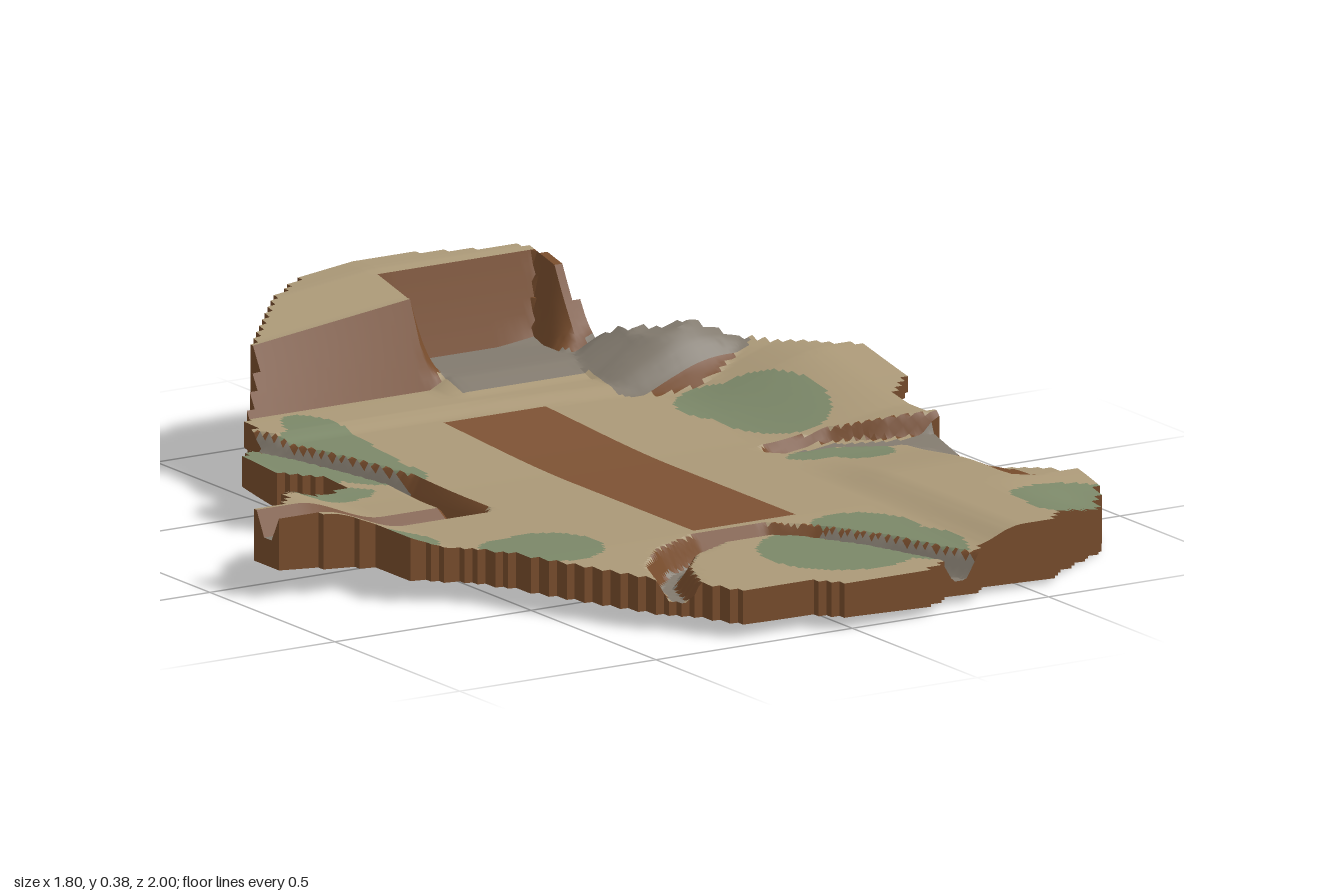
import * as THREE from 'three';
import { toCreasedNormals } from 'three/addons/utils/BufferGeometryUtils.js';

const CELL = 0.02, STEP = 0.01; // outline blocks and surface grid

// Island outline as x, z pairs
const OUTLINE = [
  -0.12, -1.005, 0.08, -1.005, 0.2, -0.98, 0.27, -0.95, 0.38, -0.94, 0.42, -0.85, 0.44, -0.72, 0.44, -0.66,
  0.5, -0.6, 0.62, -0.54, 0.7, -0.5, 0.78, -0.41, 0.89, -0.32, 0.89, -0.18, 0.82, -0.12, 0.79, -0.05,
  0.81, 0.05, 0.8, 0.18, 0.83, 0.32, 0.915, 0.4, 0.86, 0.46, 0.85, 0.65, 0.78, 0.75, 0.62, 0.85,
  0.57, 0.9, 0.4, 0.9, 0.36, 0.93, 0.26, 0.95, 0.19, 1.005, 0, 1.005, -0.08, 0.94, -0.24, 0.94,
  -0.28, 0.85, -0.35, 0.78, -0.4, 0.68, -0.46, 0.56, -0.52, 0.42, -0.6, 0.34, -0.69, 0.28, -0.68, 0.16,
  -0.8, 0.13, -0.905, 0.13, -0.905, 0.02, -0.82, 0.02, -0.77, -0.06, -0.7, -0.13, -0.6, -0.18, -0.53, -0.2,
  -0.51, -0.28, -0.59, -0.36, -0.6, -0.48, -0.5, -0.6, -0.47, -0.68, -0.4, -0.76, -0.27, -0.9, -0.18, -0.97,
];

// Gullies: paths of x, z pairs
const GULLIES = [
  [-0.95, 0.075, -0.39, 0.075, -0.385, -0.2, -0.42, -0.32, -0.46, -0.43, -0.53, -0.58],
  [-0.34, 0.86, -0.28, 0.7, -0.2, 0.61, -0.08, 0.555, 0.07, 0.555, 0.14, 0.61, 0.23, 0.75, 0.32, 0.96],
  [0.46, -0.005, 0.58, 0.005, 0.68, 0.06, 0.85, 0.11],
];

// Grass patches: x, z, radius x, radius z
const GRASS = [
  [-0.37, -0.5, 0.07, 0.17], [-0.42, -0.38, 0.11, 0.2], [-0.55, -0.42, 0.09, 0.2], [-0.38, -0.24, 0.07, 0.08],
  [-0.6, -0.16, 0.12, 0.05], [0.57, -0.23, 0.12, 0.17], [0.5, -0.34, 0.08, 0.1], [-0.41, 0.44, 0.11, 0.12],
  [-0.48, 0.4, 0.08, 0.07], [0.12, 0.76, 0.18, 0.17], [0.25, 0.66, 0.12, 0.13], [0.29, 0.8, 0.1, 0.14],
  [0.75, 0.7, 0.14, 0.1], [0.66, 0.78, 0.06, 0.07], [0.5, 0.08, 0.08, 0.04], [0.59, 0.12, 0.07, 0.06],
  [-0.64, 0.25, 0.05, 0.07],
];

// Linear ramp from 0 at a to 1 at b, in either direction
const ramp = (a, b, v) => Math.min(1, Math.max(0, (v - a) / (b - a)));
const smooth = (a, b, v) => { const t = ramp(a, b, v); return t * t * (3 - 2 * t); };
const radius = (x, z, cx, cz, rx, rz) => Math.hypot((x - cx) / rx, (z - cz) / rz);

function inside(x, z) {
  let hit = false;
  const n = OUTLINE.length;
  for (let i = 0, j = n - 2; i < n; j = i, i += 2) {
    const [xi, zi, xj, zj] = [OUTLINE[i], OUTLINE[i + 1], OUTLINE[j], OUTLINE[j + 1]];
    if ((zi > z) !== (zj > z) && x < (xj - xi) * (z - zi) / (zj - zi) + xi) hit = !hit;
  }
  return hit;
}

function gullyDistance(x, z) {
  let best = 9;
  for (const p of GULLIES) {
    for (let i = 0; i + 3 < p.length; i += 2) {
      const dx = p[i + 2] - p[i], dz = p[i + 3] - p[i + 1];
      const t = ramp(0, dx * dx + dz * dz, (x - p[i]) * dx + (z - p[i + 1]) * dz);
      best = Math.min(best, Math.hypot(x - p[i] - t * dx, z - p[i + 1] - t * dz));
    }
  }
  return best;
}

// Underside: shallow bowl rising to the back and the far right edge
function bottom(x, z) {
  let y = 0.028 + 0.165 * ramp(-0.15, -1, z) ** 2;
  y += x > 0
    ? 0.125 * (x / 0.89) ** 1.6 * smooth(0.4, -0.2, z) - 0.026 * ramp(0, 0.85, x) * smooth(0.2, 0.5, z)
    : 0.035 * (x / 0.9) ** 2;
  return Math.max(0, y);
}

// Upper surface
function top(x, z) {
  let y = 0.118 + 0.027 * smooth(0, -0.75, z) + 0.015 * ramp(-0.53, -0.57, z - 0.1 * Math.max(0, x));
  y -= 0.014 * ramp(0.5, 1, z) * ramp(0.45, 0.35, x);                         // front fall
  y += 0.06 * smooth(-0.58, -0.8, x);                                         // side spur
  const zt = z - 0.09 * ramp(0.58, 0.8, x);
  y += smooth(0.43, 0.8, x) * ramp(0.01, -0.03, zt) * (0.045 + 0.045 * ramp(-0.03, -0.35, z)); // side terrace
  y += 0.025 * smooth(0.38, 0.5, x) * smooth(0.1, 0.4, z);                    // front shoulder
  y -= 0.04 * smooth(0.6, 0.8, x) * smooth(0.5, 0.75, z);                     // shoulder fall
  y -= 0.045 * ramp(0.7, 0.8, x) * ramp(0.1, 0.16, z) * ramp(0.55, 0.48, z);  // eroded slope
  y += 0.08 * Math.min(1, Math.max(0, 1.6 - 1.6 * radius(x, z, 0.53, -0.61, 0.18, 0.17))); // rocky hump
  y += 0.025 * ramp(0, 0.05, x) * ramp(-0.6, -0.68, z);                       // quarry floor
  const cliff = Math.max(                                                     // back plateau
    ramp(-0.69, -0.77, z) * ramp(0.05, 0, x),
    ramp(-0.84, -0.9, z),
    ramp(-0.72, -0.82, z) * ramp(0.36, 0.4, x));
  y += cliff * (0.295 + 0.05 * ramp(-0.42, 0, x) + 0.033 * ramp(-0.78, -0.93, z) - y);
  y -= 0.055 * ramp(0.045, 0.015, gullyDistance(x, z));
  return Math.max(y, bottom(x, z) + 0.03);
}

function slope(x, z) {
  const e = 0.006;
  return Math.hypot(top(x + e, z) - top(x - e, z), top(x, z + e) - top(x, z - e)) / (2 * e);
}

function surfaceAt(x, z) {
  if (x > -0.08 && x < 0.175 && z > -0.51 && z < 0.49) return 'runway';
  const d = gullyDistance(x, z);
  const rockyGully = (x < -0.36 && z < -0.2) || (x > 0.15 && z > 0.6);
  if (d < 0.04 && (d < 0.016 || rockyGully)) return 'rock';
  if (x > 0.36 && z < -0.74 && z > -0.88) return 'earth';
  if (x > 0.36 && z < -0.48 && z > -0.74 && radius(x, z, 0.53, -0.59, 0.2, 0.16) < 1) return 'rock';
  if (x > 0.43 && x < 0.6 && z > -0.48 && z < -0.455) return 'earth';
  if (x > 0.7 && z > 0.06 && z < 0.17) return 'rock';
  if (slope(x, z) > 0.75) return 'earth';
  if (x > 0.705 && z > 0.16 && z < 0.52 && x < Math.min(0.77 + 0.16 * z, 0.72 + 1.1 * (0.52 - z))) return 'earth';
  if (x > 0.04 && z < -0.62 && z > -0.86) return 'rock';
  if (GRASS.some((patch) => radius(x, z, ...patch) < 1)) return 'grass';
  return 'sand';
}

export function createModel() {
  const group = new THREE.Group();
  group.name = 'island';
  const materials = {};
  for (const [name, color] of Object.entries({
    sand: 0xaa9877, grass: 0x7b8768, earth: 0x774c2c, runway: 0x7d5234, rock: 0x827a6e, underside: 0x68472b,
  })) {
    materials[name] = new THREE.MeshStandardMaterial({ color });
    materials[name].name = name;
  }

  const buckets = { sand: [], grass: [], earth: [], runway: [], rock: [] };
  const under = [], walls = [];
  const quad = (out, a, b, c, d) => out.push(...a, ...b, ...c, ...a, ...c, ...d);

  // Blocky island mask
  const NX = Math.round(1.84 / CELL), NZ = Math.round(2 / CELL);
  const blocks = new Set();
  for (let i = 0; i < NX; i++) for (let k = 0; k < NZ; k++) {
    if (inside(-0.92 + (i + 0.5) * CELL, -1 + (k + 0.5) * CELL)) blocks.add(i * 1000 + k);
  }
  const per = Math.round(CELL / STEP);
  const solid = (i, k) => i >= 0 && k >= 0 && blocks.has(Math.floor(i / per) * 1000 + Math.floor(k / per));
  const X = (i) => -0.92 + i * STEP, Z = (k) => -1 + k * STEP;
  const cache = new Map();
  const point = (i, k, up) => {
    const key = (i * 1000 + k) * 2 + up;
    if (!cache.has(key)) cache.set(key, [X(i), (up ? top : bottom)(X(i), Z(k)), Z(k)]);
    return cache.get(key);
  };
  const wall = (i, k, m, n) => quad(walls, point(i, k, 0), point(m, n, 0), point(m, n, 1), point(i, k, 1));

  // Upper surface, underside and rim, cell by cell
  for (let i = 0; i < NX * per; i++) for (let k = 0; k < NZ * per; k++) {
    if (!solid(i, k)) continue;
    const kind = surfaceAt(X(i + 0.5), Z(k + 0.5));
    quad(buckets[kind], point(i, k, 1), point(i, k + 1, 1), point(i + 1, k + 1, 1), point(i + 1, k, 1));
    quad(under, point(i, k, 0), point(i + 1, k, 0), point(i + 1, k + 1, 0), point(i, k + 1, 0));
    if (!solid(i + 1, k)) wall(i + 1, k + 1, i + 1, k);
    if (!solid(i - 1, k)) wall(i, k, i, k + 1);
    if (!solid(i, k + 1)) wall(i, k + 1, i + 1, k + 1);
    if (!solid(i, k - 1)) wall(i + 1, k, i, k);
  }

  const geometryOf = (list) => new THREE.BufferGeometry()
    .setAttribute('position', new THREE.BufferAttribute(new Float32Array(list), 3));
  const add = (name, geometry, material) => {
    const mesh = new THREE.Mesh(geometry, material);
    mesh.name = name;
    group.add(mesh);
  };

  // Shade the whole ground together, then split it by colour
  const kinds = Object.keys(buckets);
  const ground = toCreasedNormals(geometryOf([].concat(...kinds.map((n) => buckets[n]))), 0.5);
  let start = 0;
  for (const name of kinds) {
    const end = start + buckets[name].length;
    const part = new THREE.BufferGeometry();
    for (const key of ['position', 'normal']) {
      part.setAttribute(key, new THREE.BufferAttribute(ground.attributes[key].array.slice(start, end), 3));
    }
    add(name + 'Ground', part, materials[name]);
    start = end;
  }

  add('undersideSurface', toCreasedNormals(geometryOf(under), 0.5), materials.underside);
  const rim = geometryOf(walls);
  rim.computeVertexNormals();
  add('rimWall', rim, materials.earth);
  return group;
}
